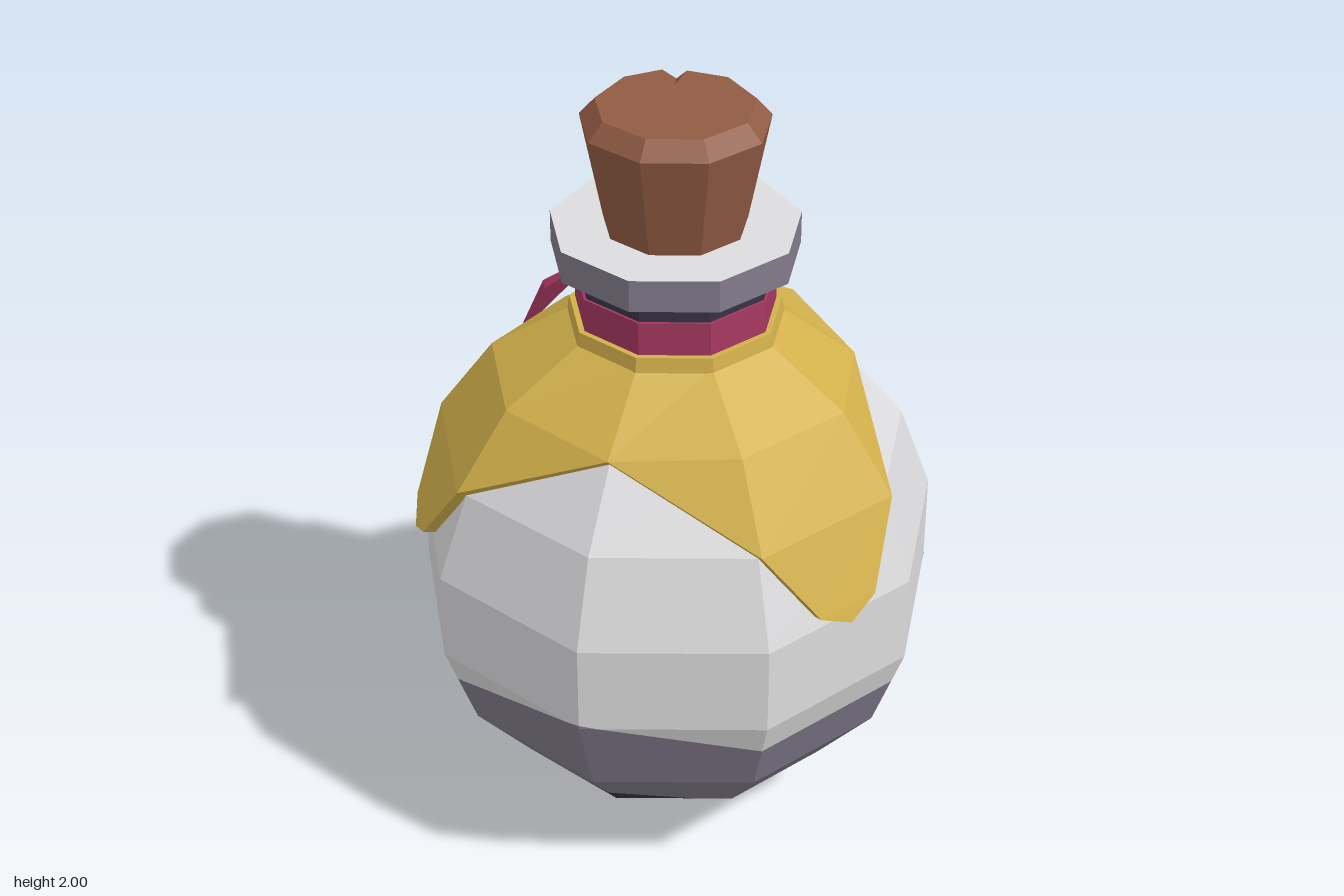
import * as THREE from 'three';
import { ConvexGeometry } from 'three/addons/geometries/ConvexGeometry.js';

const SIDES = 9;

function makeMaterial(name, color) {
  const m = new THREE.MeshStandardMaterial({ color });
  m.name = name;
  return m;
}

// point on a nine-sided ring; column 0 faces the front
function ringPoint(column, radius, y) {
  const a = (column / SIDES) * Math.PI * 2;
  return new THREE.Vector3(Math.sin(a) * radius, y, Math.cos(a) * radius);
}

// flat-shaded geometry from polygons, each fanned from its first corner
function polygons(faces) {
  const pts = [];
  for (const f of faces)
    for (let i = 1; i < f.length - 1; i++) pts.push(f[0], f[i], f[i + 1]);
  const g = new THREE.BufferGeometry().setFromPoints(pts);
  g.computeVertexNormals();
  return g;
}

function drum(top, bottom, y0, y1) {
  const g = new THREE.CylinderGeometry(top, bottom, y1 - y0, SIDES).toNonIndexed();
  g.translate(0, (y0 + y1) / 2, 0);
  g.computeVertexNormals();
  return g;
}

// cut a polygon of [u, y] corners along the line y = a..b, keeping one side
function clip(poly, a, b, sign) {
  const out = [];
  const dist = (p) => sign * (p[1] - (a + (b - a) * p[0]));
  poly.forEach((p, i) => {
    const q = poly[(i + 1) % poly.length];
    const dp = dist(p), dq = dist(q);
    if (dp >= 0) out.push(p);
    if ((dp > 1e-6 && dq < -1e-6) || (dp < -1e-6 && dq > 1e-6)) {
      const t = dp / (dp - dq);
      out.push([p[0] + (q[0] - p[0]) * t, p[1] + (q[1] - p[1]) * t]);
    }
  });
  return out;
}

// round body, split into three colours by lines that peak every third column
function bodyParts() {
  const profile = [[0, 0], [0.245, 0.045], [0.45, 0.17], [0.605, 0.35], [0.69, 0.59],
    [0.69, 0.83], [0.605, 1.06], [0.45, 1.25], [0.25, 1.39]];
  const upper = (c) => (c % 3 === 0 ? 0.6 : 0.495);
  const lower = (c) => (c % 3 === 0 ? 0.23 : 0.14);
  const parts = { glass: [], shade: [], base: [] };
  for (let c = 0; c < SIDES; c++) {
    for (let k = 0; k < profile.length - 1; k++) {
      const [r0, y0] = profile[k], [r1, y1] = profile[k + 1];
      const place = ([u, y]) => {
        const r = r0 + ((r1 - r0) * (y - y0)) / (y1 - y0);
        return ringPoint(c, r, y).lerp(ringPoint(c + 1, r, y), u);
      };
      const quad = [[0, y0], [1, y0], [1, y1], [0, y1]];
      const u = [upper(c), upper(c + 1)], l = [lower(c), lower(c + 1)];
      const pieces = {
        glass: clip(quad, ...u, 1),
        shade: clip(clip(quad, ...u, -1), ...l, 1),
        base: clip(quad, ...l, -1),
      };
      for (const key in pieces)
        if (pieces[key].length > 2) parts[key].push(pieces[key].map(place));
    }
  }
  return parts;
}

// draped cloth with three hanging points and real thickness
function clothGeometry() {
  const faces = [];
  const centre = new THREE.Vector3(0, 0.71, 0);
  const inner = (p) => p.clone().lerp(centre, 0.045);
  for (let s = 0; s < SIDES; s += 3) {
    const cols = [s, s + 1, s + 2, s + 3];
    const A = cols.map((c) => ringPoint(c, 0.27, 1.41));
    const B = cols.map((c) => (c % 3 ? ringPoint(c, 0.485, 1.275) : ringPoint(c, 0.47, 1.255)));
    const C1 = ringPoint(s + 1, 0.63, 1.075), C2 = ringPoint(s + 2, 0.63, 1.075);
    const tipL = ringPoint(s + 1.31, 0.682, 0.88);
    const tipC = ringPoint(s + 1.5, 0.69, 0.838);
    const tipR = ringPoint(s + 1.69, 0.682, 0.88);
    const outer = [
      [B[0], C1, B[1]], [C1, C2, B[2], B[1]], [C2, B[3], B[2]],
      [tipL, tipR, C2, C1], [tipL, tipC, tipR],
    ];
    for (let i = 0; i < 3; i++) outer.push([B[i], B[i + 1], A[i + 1], A[i]]);
    for (const f of outer) faces.push(f, f.map(inner).reverse());
    // hem
    const hem = [B[0], C1, tipL, tipC, tipR, C2, B[3]];
    for (let i = 0; i < hem.length - 1; i++)
      faces.push([hem[i + 1], hem[i], inner(hem[i]), inner(hem[i + 1])]);
  }
  return polygons(faces);
}

// tapered cork with a bevelled top and a chip at the back
function corkGeometry() {
  const faces = [];
  const ring = (r, y) => Array.from({ length: SIDES }, (_, i) => ringPoint(i, r, y));
  const low = ring(0.18, 1.66), wide = ring(0.24, 1.955), top = ring(0.2, 2);
  const chipA = new THREE.Vector3(-0.1, 2, -0.172);
  const chipB = new THREE.Vector3(-0.04, 2, -0.1);
  const chipC = new THREE.Vector3(-0.04, 2, -0.188);
  const outline = [];
  for (let i = 0; i < SIDES; i++) {
    const j = (i + 1) % SIDES;
    faces.push([low[i], low[j], wide[j], wide[i]]);
    faces.push([wide[i], wide[j], j === 5 ? chipC : top[j], i === 5 ? chipA : top[i]]);
    if (i === 5) outline.push(chipC, chipB, chipA);
    else outline.push(top[i]);
  }
  const hub = new THREE.Vector3(0, 2, 0);
  outline.forEach((p, i) => faces.push([hub, p, outline[(i + 1) % outline.length]]));
  faces.push([chipB, chipC, wide[5]], [chipB, wide[5], chipA]);
  return polygons(faces);
}

// slim pointed ribbon, widest part way along
function ribbonGeometry(start, middle, end, width) {
  const [a, m, b] = [start, middle, end].map((p) => new THREE.Vector3(...p));
  const dir = b.clone().sub(a).normalize();
  const side = new THREE.Vector3(0, 1, 0).cross(dir).normalize().multiplyScalar(width);
  const lift = dir.clone().cross(side).normalize().multiplyScalar(0.018);
  return new ConvexGeometry([a, b, m.clone().add(side), m.clone().sub(side),
    m.clone().add(lift), m.clone().sub(lift)]);
}

export function createModel() {
  const group = new THREE.Group();
  const glass = makeMaterial('pale glass', 0xdcdbdd);
  const shade = makeMaterial('grey violet', 0x827b8c);
  const dark = makeMaterial('dark violet', 0x393347);
  const gold = makeMaterial('gold cloth', 0xd2b04b);
  const red = makeMaterial('crimson ribbon', 0xa6385f);
  const cork = makeMaterial('brown cork', 0x915b44);
  gold.side = cork.side = THREE.DoubleSide;

  const add = (name, geometry, material) => {
    const mesh = new THREE.Mesh(geometry, material);
    mesh.name = name;
    group.add(mesh);
  };

  // bottle
  const body = bodyParts();
  add('bodyUpper', polygons(body.glass), glass);
  add('bodyMiddle', polygons(body.shade), shade);
  add('bodyBottom', polygons(body.base), dark);
  add('neck', drum(0.253, 0.253, 1.36, 1.6), dark);
  add('rim', drum(0.32, 0.32, 1.595, 1.68), [shade, glass, shade]);
  add('cork', corkGeometry(), cork);

  // cloth cover and its tie
  add('clothCover', clothGeometry(), gold);
  add('clothCollar', drum(0.275, 0.282, 1.4, 1.44), gold);
  add('ribbonBand', drum(0.26, 0.26, 1.43, 1.53), red);
  add('ribbonEndLong', ribbonGeometry(
    [-0.24, 1.49, -0.135], [-0.41, 1.345, -0.135], [-0.505, 1.17, -0.135], 0.022), red);
  add('ribbonEndShort', ribbonGeometry(
    [-0.235, 1.49, -0.155], [-0.31, 1.4, -0.225], [-0.38, 1.27, -0.27], 0.022), red);
  return group;
}
